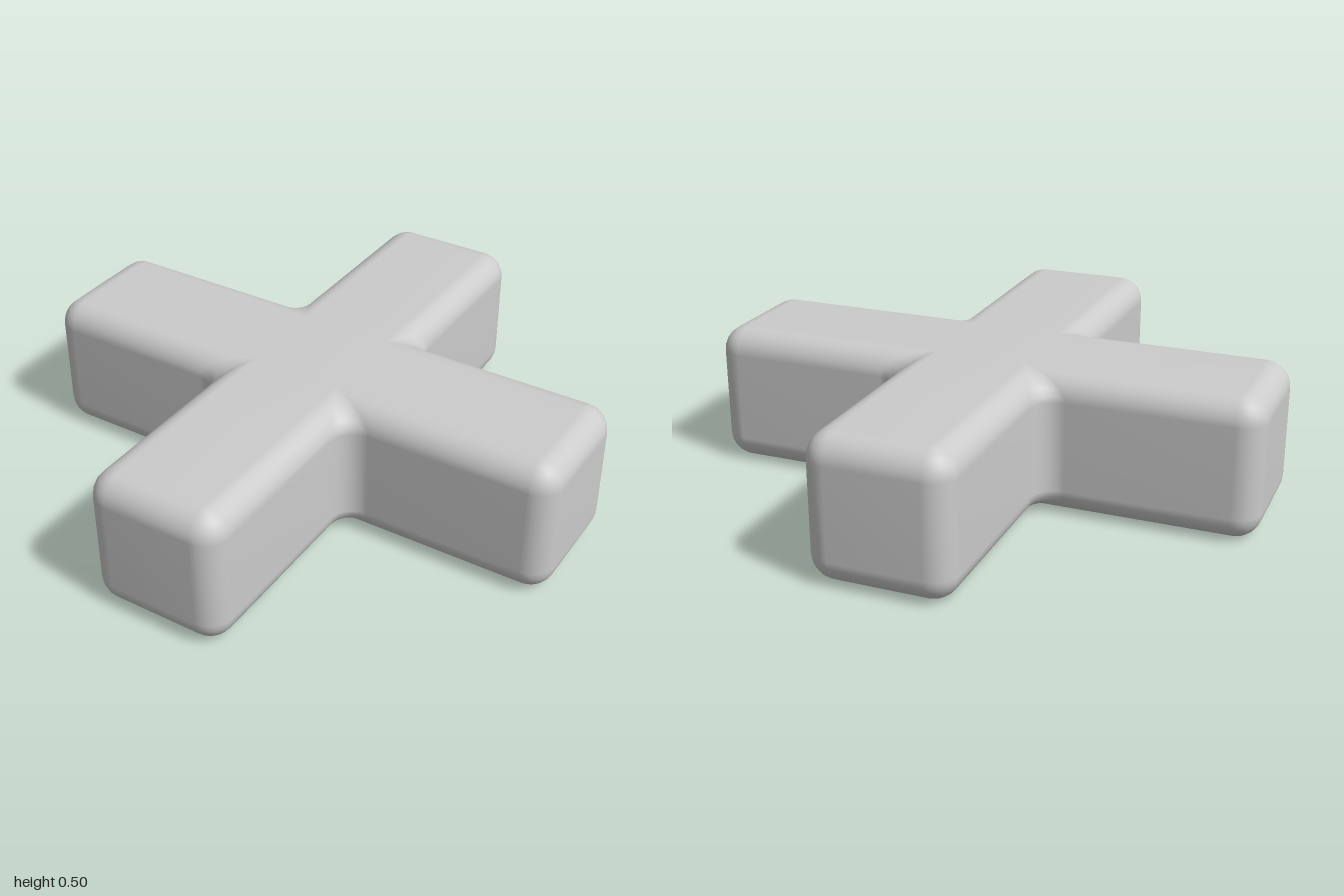
import * as THREE from 'three';
import { mergeVertices } from 'three/addons/utils/BufferGeometryUtils.js';

const REACH = 1, HALF = 0.25, HEIGHT = 0.5; // arm length from centre, half width, thickness
const ROUND = 0.09, FILLET = 0.09;          // outer edge radius, inner corner radius
const SEG = 6;

// Plus-shaped outline in (x, z); open = 1 is the full outline, open = 0 the sharp inset one
function outline(open) {
  const side = HALF - ROUND * (1 - open);
  const fillet = FILLET * open;
  const corners = [
    { x: REACH - ROUND, z: HALF - ROUND, r: ROUND * open, from: 0, turn: 1 },
    { x: side + fillet, z: side + fillet, r: fillet, from: 1.5 * Math.PI, turn: -1 },
    { x: HALF - ROUND, z: REACH - ROUND, r: ROUND * open, from: 0, turn: 1 },
  ];
  const points = [];
  for (let quadrant = 0; quadrant < 4; quadrant++) {
    for (const c of corners) {
      for (let i = 0; i <= SEG; i++) {
        const a = c.from + c.turn * (i / SEG) * Math.PI / 2;
        let x = c.x + c.r * Math.cos(a), z = c.z + c.r * Math.sin(a);
        for (let q = 0; q < quadrant; q++) [x, z] = [-z, x];
        points.push([x, z]);
      }
    }
  }
  return points;
}

function roundedCrossGeometry() {
  const positions = [], index = [];
  const quad = (a, b, c, d) => index.push(a, b, c, a, c, d);

  // Rings from the bottom cap, round the lower edge, up the walls, round the upper edge
  const rings = [];
  for (let i = 0; i <= SEG; i++) {
    const a = (i / SEG) * Math.PI / 2;
    rings.push({ open: Math.sin(a), y: ROUND * (1 - Math.cos(a)) });
  }
  for (let i = SEG; i >= 0; i--) rings.push({ open: rings[i].open, y: HEIGHT - rings[i].y });

  for (const { open, y } of rings) {
    for (const [x, z] of outline(open)) positions.push(x, y, z);
  }
  const count = 12 * (SEG + 1);
  for (let j = 0; j < rings.length - 1; j++) {
    for (let i = 0; i < count; i++) {
      const n = (i + 1) % count, low = j * count, high = low + count;
      quad(low + i, high + i, high + n, low + n);
    }
  }

  // Flat caps: a centre square and four arms each
  const top = (rings.length - 1) * count;
  const corner = (k) => ((k + 12) % 12) * (SEG + 1);
  const cap = (ids) => {
    quad(...ids.map(corner));
    quad(...ids.map((k) => top + corner(k)).reverse());
  };
  cap([1, 4, 7, 10]);
  for (let k = 0; k < 12; k += 3) cap([k - 2, k - 1, k, k + 1]);

  const geometry = new THREE.BufferGeometry();
  geometry.setAttribute('position', new THREE.Float32BufferAttribute(positions, 3));
  geometry.setIndex(index);
  const merged = mergeVertices(geometry, 1e-4);
  merged.computeVertexNormals();
  return merged;
}

export function createModel() {
  const group = new THREE.Group();
  group.name = 'roundedCross';
  const body = new THREE.Mesh(
    roundedCrossGeometry(),
    new THREE.MeshStandardMaterial({ color: 0xcccccc }),
  );
  body.name = 'crossBody';
  group.add(body);
  return group;
}
